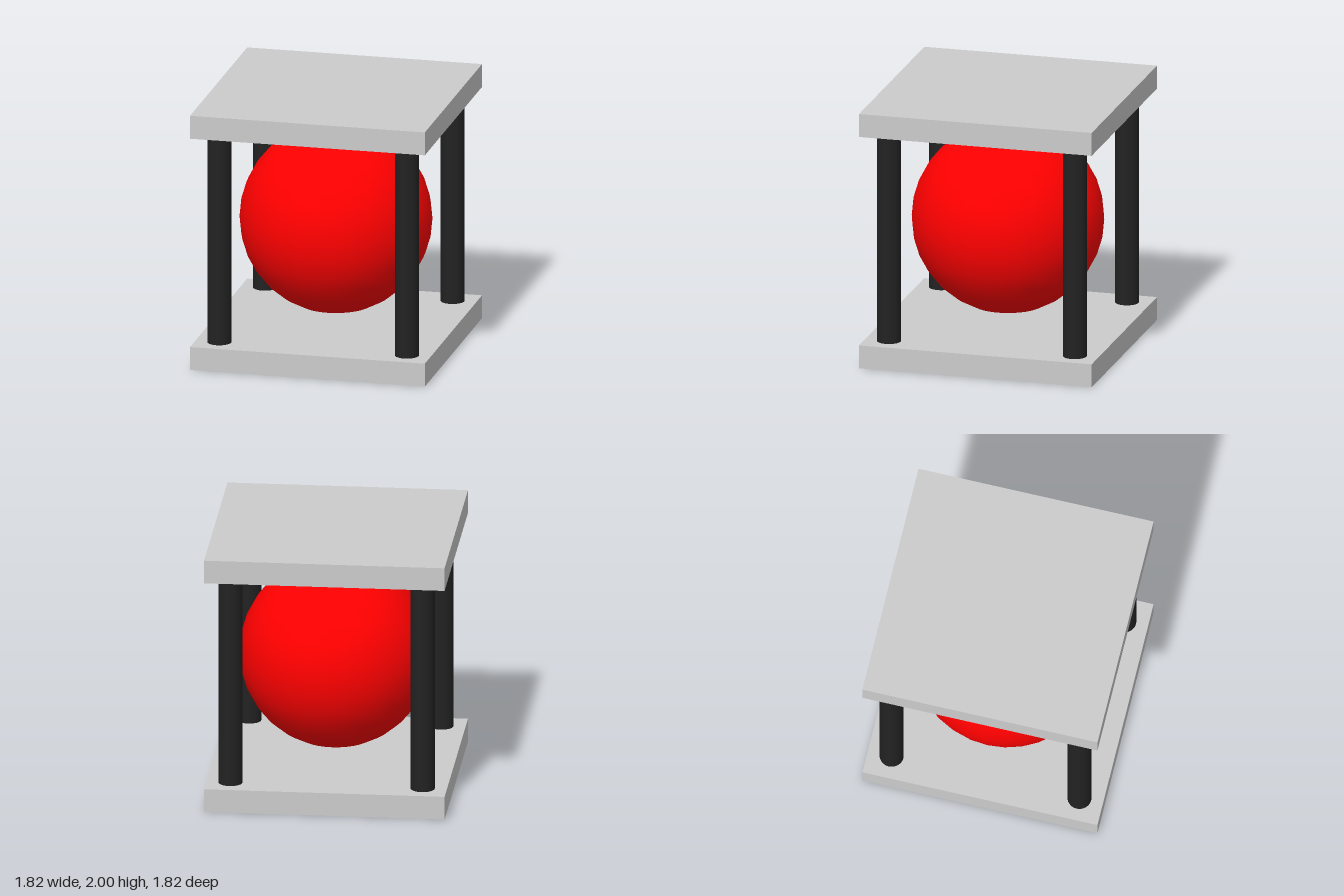
import * as THREE from 'three';

const SIZE = 1.82, THICK = 0.18, HEIGHT = 2;
const POST_RADIUS = 0.091, POST_OFFSET = 0.727, BALL_RADIUS = 0.727;

export function createModel() {
  const model = new THREE.Group();
  model.name = 'cagedBall';

  const grey = new THREE.MeshStandardMaterial({ color: 0xcccccc });
  const black = new THREE.MeshStandardMaterial({ color: 0x222222 });
  const red = new THREE.MeshStandardMaterial({ color: 0xff0000 });

  const add = (name, geometry, material, x, y, z) => {
    const mesh = new THREE.Mesh(geometry, material);
    mesh.name = name;
    mesh.position.set(x, y, z);
    model.add(mesh);
  };

  // Square plates at the bottom and top
  const plate = new THREE.BoxGeometry(SIZE, THICK, SIZE);
  add('basePlate', plate, grey, 0, THICK / 2, 0);
  add('topPlate', plate, grey, 0, HEIGHT - THICK / 2, 0);

  // Four round corner posts between the plates
  const post = new THREE.CylinderGeometry(POST_RADIUS, POST_RADIUS, HEIGHT - 2 * THICK, 32);
  for (const [side, x] of [['Left', POST_OFFSET], ['Right', -POST_OFFSET]]) {
    for (const [end, z] of [['front', POST_OFFSET], ['back', -POST_OFFSET]]) {
      add(`${end}${side}Post`, post, black, x, HEIGHT / 2, z);
    }
  }

  // Ball floating in the middle
  add('ball', new THREE.SphereGeometry(BALL_RADIUS, 32, 16), red, 0, HEIGHT / 2, 0);

  return model;
}
